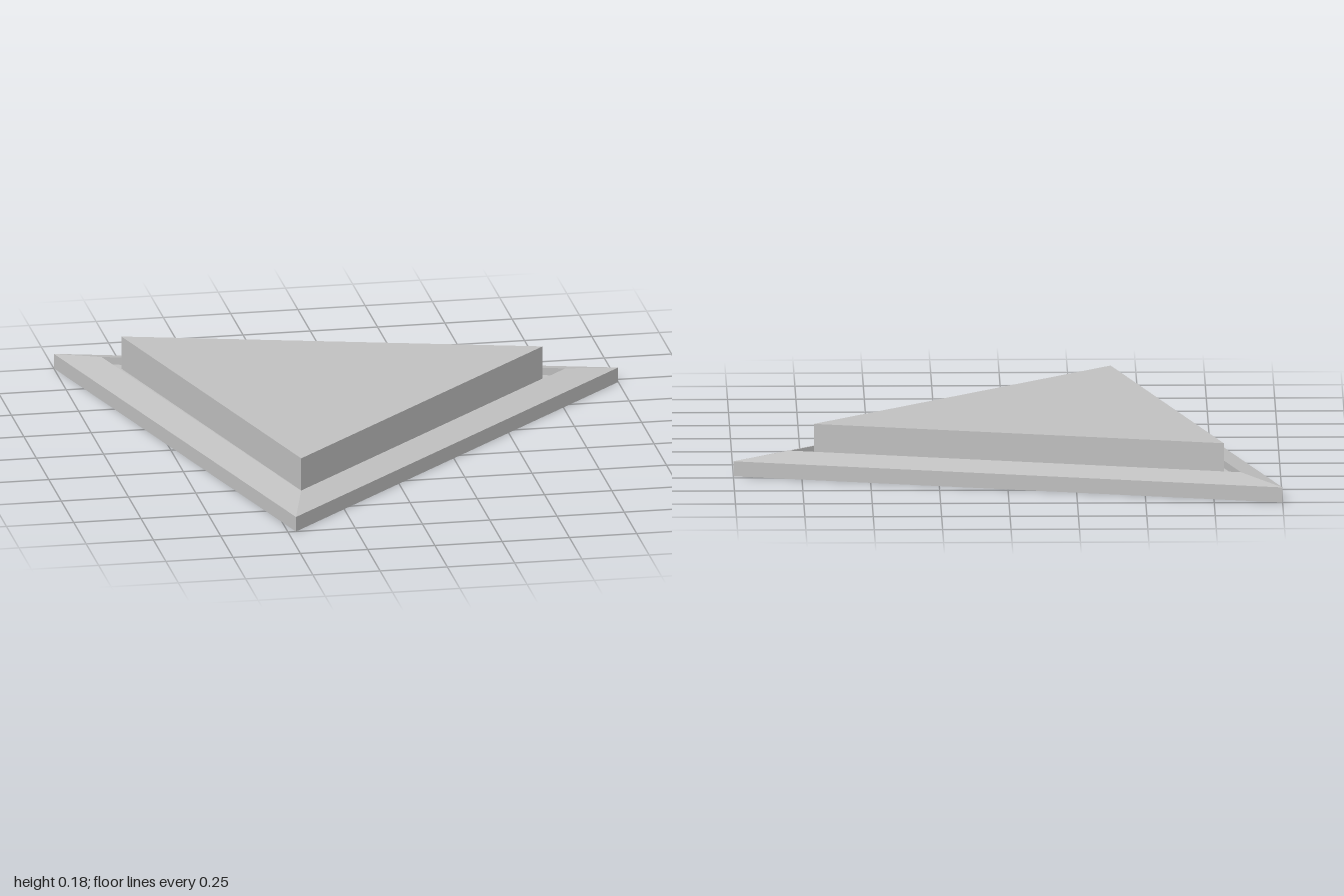
import * as THREE from 'three';

// Triangle ring at height y, counter-clockwise from above: one corner at the
// back right, the other two mirrored across the diagonal.
const ring = (a, b, c, y) => [[-a, y, -a], [-c, y, b], [b, y, -c]];

// Skin consecutive rings with flat faces and close both ends.
function loft(rings) {
  const pos = [];
  const tri = (...corners) => corners.forEach((p) => pos.push(...p));
  for (let r = 0; r < rings.length - 1; r++) {
    const lo = rings[r], hi = rings[r + 1];
    for (let i = 0; i < 3; i++) {
      const j = (i + 1) % 3;
      tri(lo[i], lo[j], hi[j]);
      tri(lo[i], hi[j], hi[i]);
    }
  }
  const [b0, b1, b2] = rings[0];
  tri(b0, b2, b1);
  tri(...rings[rings.length - 1]);
  const geometry = new THREE.BufferGeometry();
  geometry.setAttribute('position', new THREE.Float32BufferAttribute(pos, 3));
  geometry.computeVertexNormals();
  return geometry;
}

export function createModel() {
  const group = new THREE.Group();
  group.name = 'triangularButton';
  const grey = new THREE.MeshStandardMaterial({ color: 0xc0c0c0 });
  grey.name = 'light grey';

  const add = (name, rings) => {
    const mesh = new THREE.Mesh(loft(rings), grey);
    mesh.name = name;
    group.add(mesh);
  };

  // Base plate with a sloping rim and a shallow recess inside it
  add('bezel', [
    ring(1, 1, 0.47, 0),
    ring(1, 1, 0.47, 0.056),
    ring(0.85, 0.793, 0.413, 0.084),
    ring(0.85, 0.793, 0.413, 0.056),
  ]);

  // Raised block standing in the recess
  add('button', [
    ring(0.788, 0.705, 0.396, 0.05),
    ring(0.788, 0.705, 0.396, 0.18),
  ]);

  return group;
}
